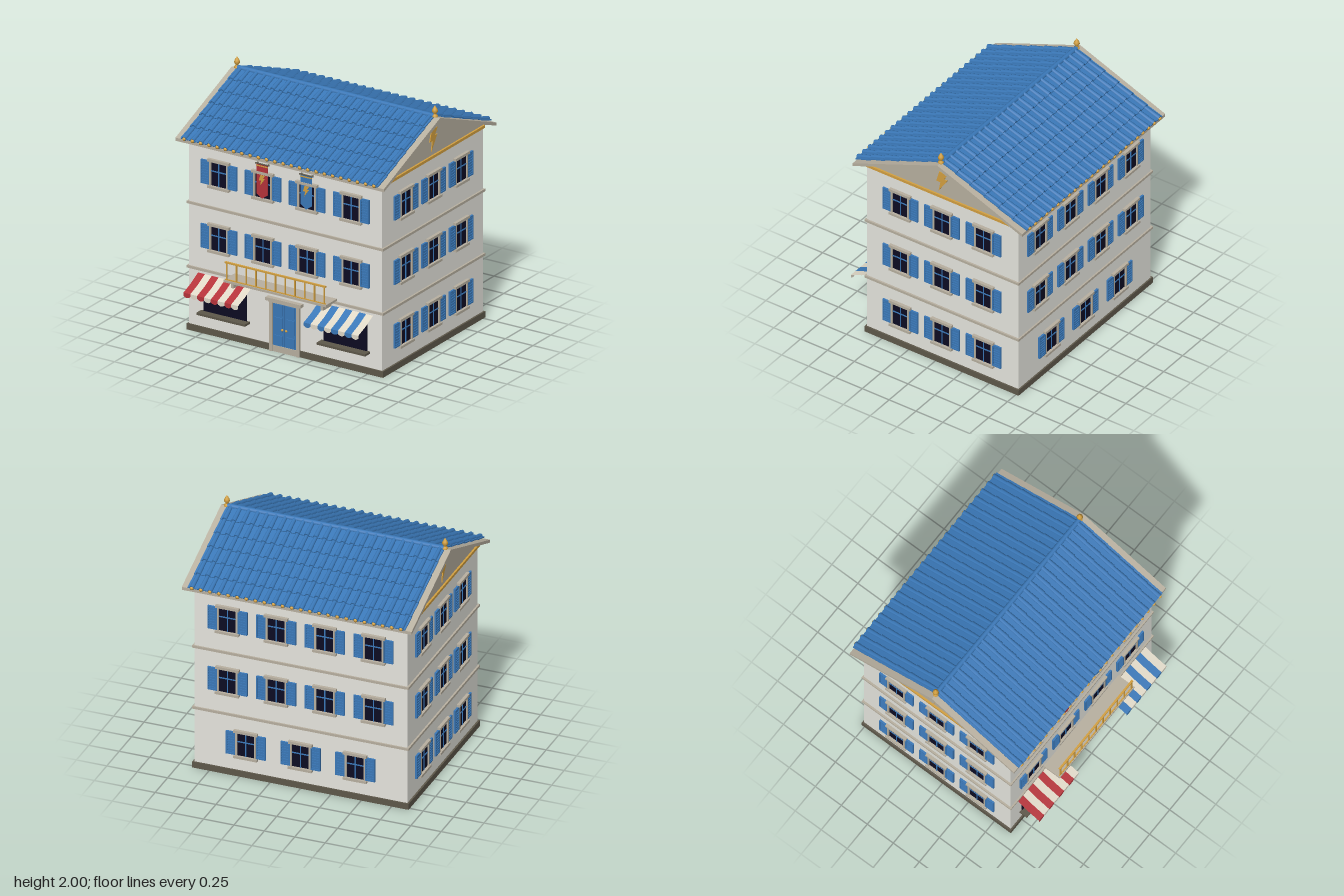
import * as THREE from 'three';
import { mergeGeometries } from 'three/addons/utils/BufferGeometryUtils.js';

const mat = (name, color, side = THREE.FrontSide) => {
  const m = new THREE.MeshStandardMaterial({ color, side });
  m.name = name;
  return m;
};

export function createModel() {
  const wall = mat('plaster', 0xe6e5de), stone = mat('stone trim', 0xb8b0a0), base = mat('dark stone', 0x5e584a);
  const blue = mat('blue', 0x3a78b8, THREE.DoubleSide), red = mat('red', 0xb5333a, THREE.DoubleSide);
  const cream = mat('cream cloth', 0xe0d9c8, THREE.DoubleSide);
  const gold = mat('gold', 0xd3a040), glass = mat('dark glass', 0x0c0b22);

  const model = new THREE.Group();
  model.name = 'townhouse';
  const CZ = -0.058, HX = 0.875, HZ = 0.705, FRONT = CZ + HZ;

  const add = (parent, name, geo, material, x = 0, y = 0, z = 0) => {
    const m = new THREE.Mesh(geo, material);
    m.name = name;
    m.position.set(x, y, z);
    parent.add(m);
    return m;
  };
  const group = (parent, name, x = 0, y = 0, z = 0, ry = 0) => {
    const g = new THREE.Group();
    g.name = name;
    g.position.set(x, y, z);
    g.rotation.y = ry;
    parent.add(g);
    return g;
  };
  // boxes given as [w, h, d, x, y, z], merged into one geometry
  const boxes = (...list) => mergeGeometries(list.map(([w, h, d, x = 0, y = 0, z = 0]) =>
    new THREE.BoxGeometry(w, h, d).translate(x, y, z)));
  const plate = (points, depth) => new THREE.ExtrudeGeometry(
    new THREE.Shape(points.map(([x, y]) => new THREE.Vector2(x, y))), { depth, bevelEnabled: false });

  // Body, plinth and string courses
  add(model, 'walls', boxes([HX * 2, 1.56, HZ * 2]), wall, 0, 0.8, CZ);
  add(model, 'plinth', boxes([1.78, 0.05, 1.435]), base, 0, 0.025, CZ);
  for (const y of [0.52, 1.05]) add(model, 'stringCourse', boxes([1.78, 0.02, 1.435]), stone, 0, y, CZ);

  // Windows with louvred shutters
  const trimGeo = boxes([0.195, 0.022, 0.026, 0, 0.108, 0.013], [0.195, 0.02, 0.028, 0, -0.11, 0.014],
    [0.014, 0.2, 0.018, -0.077, 0, 0.009], [0.014, 0.2, 0.018, 0.077, 0, 0.009]);
  const glassGeo = boxes([0.15, 0.2, 0.006, 0, 0, 0.003]);
  const muntinGeo = boxes([0.009, 0.2, 0.008, 0, 0, 0.007], [0.142, 0.009, 0.008, 0, 0.02, 0.007]);
  const shutterParts = [];
  for (const s of [-1, 1]) {
    const x = s * 0.124;
    shutterParts.push([0.076, 0.196, 0.007, x, 0, 0.0035]);
    for (const e of [-1, 1]) {
      shutterParts.push([0.01, 0.196, 0.016, x + e * 0.034, 0, 0.008]);
      shutterParts.push([0.076, 0.012, 0.016, x, e * 0.092, 0.008]);
    }
    for (let i = 0; i < 8; i++) shutterParts.push([0.06, 0.011, 0.007, x, -0.077 + i * 0.022, 0.0095]);
  }
  const shutterGeo = boxes(...shutterParts);
  const windowAt = (x, y, z, ry) => {
    const g = group(model, 'window', x, y, z, ry);
    add(g, 'pane', glassGeo, glass);
    add(g, 'glazingBars', muntinGeo, blue);
    add(g, 'surround', trimGeo, stone);
    add(g, 'shutters', shutterGeo, blue);
  };
  const rows = [0.28, 0.805, 1.335];
  rows.forEach((y, r) => {
    for (const x of [-0.6, -0.2, 0.2, 0.6]) if (r) {
      windowAt(x, y, FRONT, 0);
      windowAt(x, y, CZ - HZ, Math.PI);
    }
    if (!r) for (const x of [-0.45, 0, 0.45]) windowAt(x, y, CZ - HZ, Math.PI);
    for (const dz of [-0.387, 0, 0.387]) for (const s of [-1, 1]) windowAt(s * HX, y, CZ + dz, s * Math.PI / 2);
  });

  // Gables with gold band and bolt emblem
  add(model, 'gableInfill', plate([[-0.74, 1.58], [0.74, 1.58], [0, 1.88]], 1.756)
    .rotateY(Math.PI / 2).translate(-0.878, 0, CZ), stone);
  const boltPoints = [[-0.025, 0.09], [0.055, 0.09], [0.018, 0.032], [0.05, 0.032], [-0.03, -0.09], [-0.014, -0.005], [-0.052, -0.005]];
  const boltGeo = plate(boltPoints, 0.008);
  for (const s of [-1, 1]) {
    const g = group(model, 'gableFront', s * 0.878, 0, CZ, s * Math.PI / 2);
    add(g, 'goldBand', boxes([1.42, 0.022, 0.02]), gold, 0, 1.577, 0.005);
    add(g, 'boltEmblem', boltGeo, gold, 0, 1.712, 0);
  }

  // Roof slab with projecting verges
  const RY = 1.905, RUN = 0.79, DROP = 0.313;
  add(model, 'roofSlab', plate([[-RUN, RY - DROP], [-RUN, RY - DROP - 0.025], [0, RY - 0.032],
    [RUN, RY - DROP - 0.025], [RUN, RY - DROP], [0, RY]], 1.89).rotateY(Math.PI / 2).translate(-0.945, 0, CZ), stone);

  // Overlapping tile rows, barrel ribs and gold eave studs
  const LEN = Math.hypot(RUN, DROP), ANGLE = Math.atan2(DROP, RUN), ROWS = 6, COLS = 24;
  const step = LEN / ROWS, tiles = [], studs = [];
  for (let r = 0; r < ROWS; r++) {
    const z = (r + 0.5) * step;
    tiles.push(new THREE.BoxGeometry(1.79, 0.008, step + 0.008).rotateX(-0.06).translate(0, 0.007, z));
    for (let c = 0; c < COLS; c++) {
      tiles.push(new THREE.CylinderGeometry(0.021, 0.016, step + 0.006, 8).rotateX(Math.PI / 2 - 0.05)
        .translate((c - (COLS - 1) / 2) * 0.0748, 0.01, z));
    }
  }
  for (let c = 0; c < COLS; c++) studs.push(new THREE.SphereGeometry(0.015, 10, 8)
    .translate((c - (COLS - 1) / 2) * 0.0748, 0.012, LEN + 0.003));
  const tileGeo = mergeGeometries(tiles), studGeo = mergeGeometries(studs);
  for (const ry of [0, Math.PI]) {
    const slope = group(group(model, 'roofSide', 0, RY, CZ, ry), 'roofSlope');
    slope.rotation.x = ANGLE;
    add(slope, 'tiles', tileGeo, blue);
    add(slope, 'eaveStuds', studGeo, gold);
  }
  add(model, 'ridgeCap', new THREE.CylinderGeometry(0.02, 0.02, 1.79, 10).rotateZ(Math.PI / 2), blue, 0, RY + 0.004, CZ);
  const finialGeo = new THREE.LatheGeometry([[0.022, 0], [0.022, 0.012], [0.012, 0.02], [0.012, 0.028], [0.024, 0.045],
    [0.02, 0.062], [0.008, 0.082], [0, 0.095]].map(([x, y]) => new THREE.Vector2(x, y)), 14);
  for (const s of [-1, 1]) add(model, 'finial', finialGeo, gold, s * 0.897, 1.905, CZ);

  // Shop windows with striped scalloped awnings
  const W = 0.495 / 8;
  const clothGeo = new THREE.PlaneGeometry(W, 1, 1, 2);
  const profile = [[0.002, 0.487], [0.105, 0.432], [0.208, 0.392]];
  for (let i = 0; i < 6; i++) {
    const [z, y] = profile[Math.floor(i / 2)];
    clothGeo.attributes.position.setY(i, y).setZ(i, z);
  }
  clothGeo.computeVertexNormals();
  const scallop = new THREE.Shape();
  scallop.moveTo(W / 2, 0.392).lineTo(-W / 2, 0.392).lineTo(-W / 2, 0.368).quadraticCurveTo(0, 0.34, W / 2, 0.368);
  const scallopGeo = new THREE.ShapeGeometry(scallop, 8);
  for (const [x, colour] of [[-0.545, red], [0.545, blue]]) {
    const shop = group(model, 'shopWindow', x, 0, FRONT);
    add(shop, 'pane', boxes([0.39, 0.27, 0.008]), glass, 0, 0.315, 0.004);
    add(shop, 'sill', boxes([0.44, 0.018, 0.07]), base, 0, 0.176, 0.035);
    for (let i = 0; i < 8; i++) {
      const m = i % 2 ? cream : colour, sx = (i - 3.5) * W;
      add(shop, 'awningStripe', clothGeo, m, sx);
      add(shop, 'awningScallop', scallopGeo, m, sx, 0, 0.208);
    }
  }

  // Double door
  const door = group(model, 'door', 0, 0, FRONT);
  add(door, 'doorFrame', boxes([0.027, 0.415, 0.026, -0.122, 0.2075, 0.013], [0.027, 0.415, 0.026, 0.122, 0.2075, 0.013],
    [0.32, 0.026, 0.04, 0, 0.428, 0.02], [0.28, 0.012, 0.03, 0, 0.41, 0.015]), stone);
  add(door, 'threshold', boxes([0.22, 0.05, 0.016]), stone, 0, 0.025, 0.01);
  add(door, 'leafGap', boxes([0.22, 0.36, 0.004]), glass, 0, 0.23, 0.002);
  const leaf = [];
  for (const s of [-1, 1]) {
    leaf.push([0.106, 0.36, 0.01, s * 0.055, 0.23, 0.007]);
    for (const [y, h] of [[0.1, 0.075], [0.225, 0.12], [0.348, 0.09]]) leaf.push([0.07, h, 0.008, s * 0.055, y, 0.015]);
  }
  add(door, 'doorLeaves', boxes(...leaf), blue);
  for (const s of [-1, 1]) add(door, 'handle', new THREE.SphereGeometry(0.01, 10, 8), gold, s * 0.018, 0.19, 0.02);

  // Balcony
  const balcony = group(model, 'balcony', 0, 0, FRONT);
  add(balcony, 'floor', boxes([0.93, 0.018, 0.155]), stone, 0, 0.543, 0.0775);
  for (const s of [-1, 1]) add(balcony, 'bracket', boxes([0.022, 0.052, 0.12]), stone, s * 0.406, 0.51, 0.06);
  const bars = [[0.91, 0.012, 0.016, 0, 0.697, 0.143], [0.91, 0.007, 0.01, 0, 0.556, 0.143]];
  for (let i = 0; i < 11; i++) bars.push([0.01, 0.145, 0.01, (i - 5) * 0.0885, 0.624, 0.143]);
  add(balcony, 'railing', boxes(...bars), gold);

  // Hanging banners
  const bannerGeo = plate([[-0.052, 1.515], [-0.052, 1.272], [0, 1.235], [0.052, 1.272], [0.052, 1.515]], 0.004);
  const smallBolt = plate(boltPoints.map(([x, y]) => [x * 0.52, y * 0.48]), 0.003);
  for (const [x, colour] of [[-0.2, red], [0.2, blue]]) {
    const banner = group(model, 'banner', x, 0, FRONT + 0.019);
    add(banner, 'cloth', bannerGeo, colour);
    add(banner, 'bolt', smallBolt, gold, 0, 1.385, 0.004);
    add(banner, 'goldStripe', boxes([0.104, 0.01, 0.006]), gold, 0, 1.502, 0.003);
    add(banner, 'rod', new THREE.CylinderGeometry(0.006, 0.006, 0.125, 8).rotateZ(Math.PI / 2), base, 0, 1.518, 0.002);
    add(banner, 'rodBrackets', boxes([0.008, 0.008, 0.02, -0.05, 1.518, -0.009], [0.008, 0.008, 0.02, 0.05, 1.518, -0.009]), base);
  }
  return model;
}
